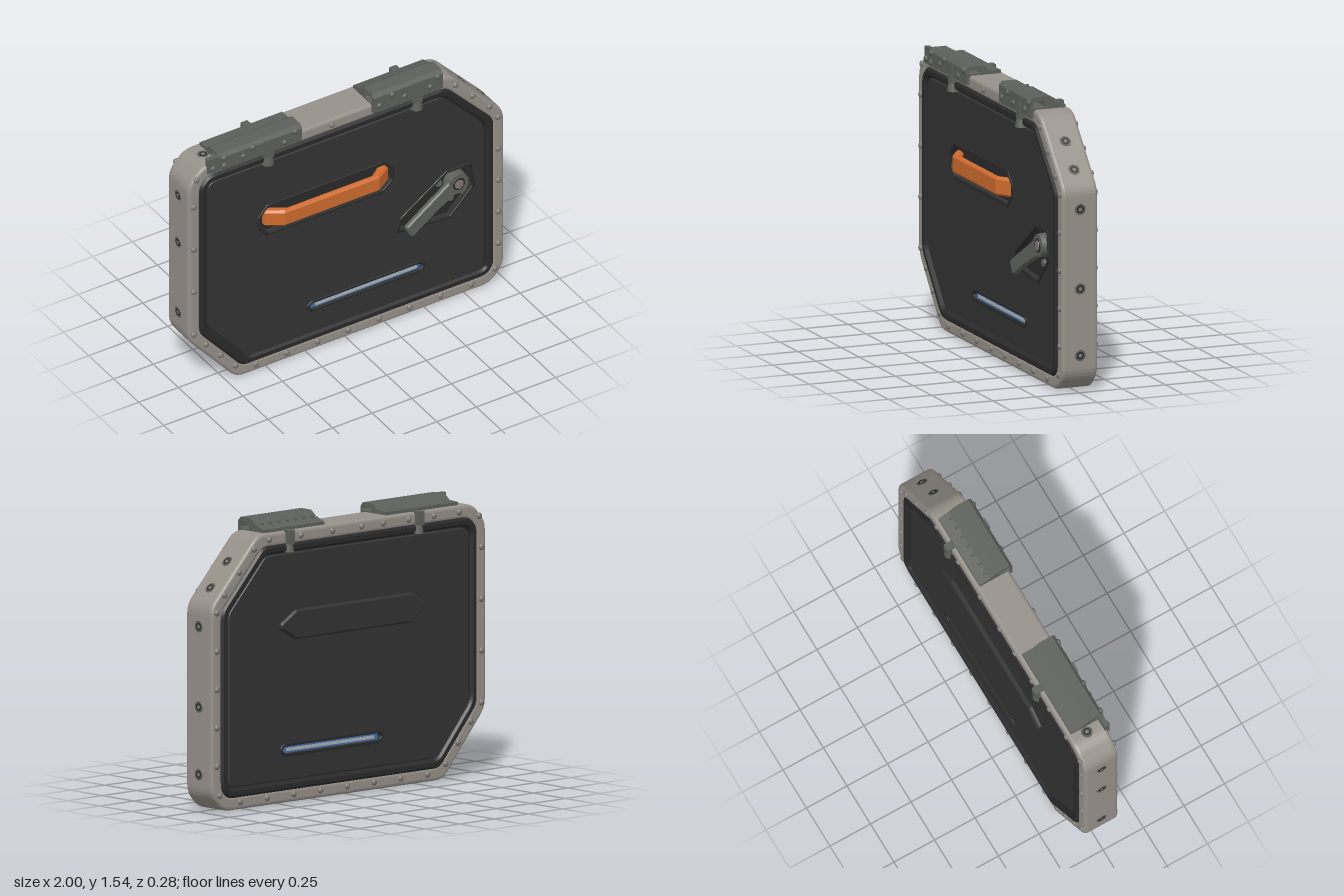
import * as THREE from 'three';

const mat = (name, color) => Object.assign(new THREE.MeshStandardMaterial({ color }), { name });
const M = {
  frame: mat('warmGrey', 0x969089),
  panel: mat('charcoal', 0x333333),
  seal: mat('blackRubber', 0x2a2a2a),
  metal: mat('greenGreySteel', 0x5d605a),
  screw: mat('screwGrey', 0x7c7974),
  orange: mat('orange', 0xcf6b2e),
  blue: mat('blue', 0x41699f),
  light: mat('paleGrey', 0xa8b0b6),
};

// Outlines, counter-clockwise and convex
const BODY = [[-0.69, 0], [0.91, 0], [0.997, 0.09], [0.997, 1.11], [0.66, 1.47], [-0.9, 1.47], [-0.997, 1.37], [-0.997, 0.36]];
const GRIP = [[-0.5, 0.863], [0.24, 0.863], [0.305, 0.925], [0.305, 1.0], [0.24, 1.065], [-0.5, 1.065], [-0.56, 1.0], [-0.56, 0.925]];
const LEVER = [[0.66, 0.53], [0.815, 0.69], [0.79, 0.85], [0.63, 0.85], [0.34, 0.65], [0.31, 0.56]];
const SLOT = [[-0.22, 0.25], [0.47, 0.25], [0.5, 0.275], [0.5, 0.3], [0.47, 0.322], [-0.22, 0.322], [-0.25, 0.3], [-0.25, 0.275]];
const BACK = [[-0.44, 0.88], [0.4, 0.88], [0.51, 0.945], [0.51, 0.975], [0.4, 1.04], [-0.44, 1.04], [-0.54, 0.975], [-0.54, 0.945]];

// Move every edge of an outline inwards by d
function inset(pts, d) {
  const n = pts.length;
  const normal = (a, b) => {
    const l = Math.hypot(b[0] - a[0], b[1] - a[1]);
    return [(a[1] - b[1]) / l, (b[0] - a[0]) / l];
  };
  return pts.map((p, i) => {
    const a = normal(pts[(i + n - 1) % n], p), b = normal(p, pts[(i + 1) % n]);
    const k = d / (1 + a[0] * b[0] + a[1] * b[1]);
    return [p[0] + k * (a[0] + b[0]), p[1] + k * (a[1] + b[1])];
  });
}

// Closed outline with softened corners of size r, and optional holes
function outline(pts, r = 0, holes = []) {
  const s = new THREE.Shape(), n = pts.length;
  const v = pts.map((p) => new THREE.Vector2(...p));
  v.forEach((p, i) => {
    const toward = (q) => p.clone().lerp(q, Math.min(0.4, r / p.distanceTo(q)));
    const a = toward(v[(i + n - 1) % n]), b = toward(v[(i + 1) % n]);
    if (i) s.lineTo(a.x, a.y); else s.moveTo(a.x, a.y);
    if (r) s.quadraticCurveTo(p.x, p.y, b.x, b.y);
  });
  s.closePath();
  s.holes = holes;
  return s;
}

// Solid between z0 and z1, with bevelled edges
function slab(shape, z0, z1, b = 0) {
  const g = new THREE.ExtrudeGeometry(shape, {
    depth: z1 - z0 - 2 * b, bevelEnabled: b > 0, bevelSize: b, bevelThickness: b,
    bevelOffset: -b, bevelSegments: b > 0.012 ? 3 : 1, curveSegments: 5,
  });
  return g.translate(0, 0, z0 + b);
}

export function createModel() {
  const root = new THREE.Group();
  root.name = 'armouredCase';
  const add = (name, geo, material, parent = root) => {
    const m = new THREE.Mesh(geo, material);
    m.name = name;
    parent.add(m);
    return m;
  };
  const box = (name, material, x0, x1, y0, y1, z0, z1) =>
    add(name, new THREE.BoxGeometry(x1 - x0, y1 - y0, z1 - z0), material)
      .position.set((x0 + x1) / 2, (y0 + y1) / 2, (z0 + z1) / 2);
  const disc = (name, material, r, x, y, z0, z1, sides = 20) => {
    const g = new THREE.CylinderGeometry(r * 0.92, r, z1 - z0, sides).rotateX(Math.PI / 2);
    add(name, g, material).position.set(x, y, (z0 + z1) / 2);
  };

  // Shell, rubber seals and panels
  const ring = (pts, d0, d1, r) => outline(inset(pts, d0), r, [outline(inset(pts, d1), r)]);
  add('outerFrame', slab(ring(BODY, 0, 0.075, 0.05), -0.11, 0.096, 0.018), M.frame);
  add('rubberSeal', slab(ring(BODY, 0.068, 0.115, 0.04), -0.12, 0.106, 0.012), M.seal);
  add('innerCore', slab(outline(inset(BODY, 0.1), 0.03), -0.075, 0.06), M.seal);
  const plate = inset(BODY, 0.125);
  add('frontPanel', slab(outline(plate, 0.03, [GRIP, LEVER, SLOT].map((p) => outline(inset(p, 0.015), 0.01))), 0.05, 0.092, 0.004), M.panel);
  add('backPanel', slab(outline(plate, 0.03, [outline(inset(SLOT, 0.015), 0.01)]), -0.107, -0.06, 0.004), M.panel);
  add('backPlate', slab(outline(BACK, 0.01), -0.133, -0.1, 0.01), M.panel);

  // Raised rims around the recesses
  for (const [name, pts] of [['gripRim', GRIP], ['leverRim', LEVER], ['slotRim', SLOT]])
    add(name, slab(ring(pts, 0, 0.017, 0.01), 0.085, 0.098, 0.003), M.seal);
  add('backSlotRim', slab(ring(SLOT, 0, 0.017, 0.01), -0.113, -0.1, 0.003), M.seal);

  // Light strips, front and back
  for (const [z, dir] of [[0.08, 1], [-0.095, -1]]) {
    box('lightStripBed', M.blue, -0.215, 0.47, 0.267, 0.305, z - 0.004, z + 0.004);
    const zc = z + dir * 0.005;
    box('lightStrip', M.light, -0.19, 0.45, 0.277, 0.294, zc - 0.003, zc + 0.003);
  }

  // Carrying grip: an arch bent out of its recess
  const arch = outline([[-0.51, 0.055], [-0.46, 0.055], [-0.385, 0.105], [0.155, 0.105], [0.22, 0.055], [0.27, 0.055],
    [0.27, 0.085], [0.18, 0.142], [-0.415, 0.142], [-0.51, 0.085]]);
  const grip = add('carryGrip', slab(arch, 0, 0.1, 0.012).rotateX(Math.PI / 2), M.orange);
  grip.position.y = 1.018;

  // Turning lever
  const lever = new THREE.Group();
  lever.name = 'turningLever';
  lever.position.set(0.7, 0.75, 0.075);
  lever.rotation.set(0, 0.07, 0.49, 'ZYX');
  root.add(lever);
  const arm = outline([[-0.38, -0.055], [-0.2, -0.045], [0, -0.05], [0, 0.05], [-0.2, 0.04], [-0.38, 0.03]], 0.02);
  add('leverArm', slab(arm, 0, 0.034, 0.008), M.metal, lever);
  disc('leverHub', M.metal, 0.067, 0.7, 0.75, 0.06, 0.114);
  disc('hubRing', M.seal, 0.04, 0.7, 0.75, 0.11, 0.117);
  disc('hubNut', M.screw, 0.031, 0.7, 0.75, 0.11, 0.121, 6);
  for (const [x, y] of [[0.672, 0.645], [0.6, 0.765], [0.755, 0.66]]) disc('leverScrew', M.metal, 0.022, x, y, 0.055, 0.075, 12);

  // Dome screws around the frame
  const dome = new THREE.SphereGeometry(0.018, 10, 8).scale(1, 1, 0.7);
  const row = (n, x0, y0, x1, y1) => Array.from({ length: n }, (_, i) => {
    const t = n > 1 ? i / (n - 1) : 0;
    return [x0 + (x1 - x0) * t, y0 + (y1 - y0) * t];
  });
  const spots = [
    ...row(8, -0.57, 0.042, 0.79, 0.042), ...row(5, 0.96, 0.25, 0.96, 1.08),
    ...row(4, -0.962, 0.39, -0.962, 1.23), ...row(3, -0.885, 0.295, -0.7, 0.085),
    ...row(3, 0.69, 1.395, 0.905, 1.17), [0.94, 0.09], [-0.945, 1.4], [-0.09, 1.435],
  ];
  const backSpots = [...spots, ...row(4, -0.8, 1.435, -0.25, 1.435), ...row(3, 0.12, 1.435, 0.58, 1.435)];
  for (const [list, z] of [[spots, 0.096], [backSpots, -0.11]])
    for (const [x, y] of list) add('frameScrew', dome, M.screw).position.set(x, y, z);

  // Sunk bolts on the edges: x, y and outward direction
  const slope = [0.73, 0.684];
  const bolts = [
    ...[0.2, 0.565, 1.0].map((y) => [0.997, y, 1, 0]),
    ...[0.49, 0.95, 1.26].map((y) => [-0.997, y, -1, 0]),
    ...[-0.29, 0.24, 0.56].map((x) => [x, 0, 0, -1]),
    [0.791, 1.33, ...slope], [0.913, 1.2, ...slope], [-0.84, 1.47, 0, 1],
  ];
  for (const [x, y, nx, ny] of bolts) {
    const bolt = new THREE.Group();
    bolt.name = 'edgeBolt';
    bolt.position.set(x, y, -0.007);
    bolt.rotation.z = Math.atan2(-nx, ny);
    root.add(bolt);
    add('boltWasher', new THREE.CylinderGeometry(0.03, 0.033, 0.004, 16), M.metal, bolt);
    add('boltSocket', new THREE.CylinderGeometry(0.021, 0.021, 0.005, 16), M.seal, bolt);
    add('boltHead', new THREE.CylinderGeometry(0.012, 0.012, 0.006, 6), M.screw, bolt);
  }

  // Hinge covers over the top edge, each with a hollow channel
  const cover = (x0, x1, top) => {
    const channel = outline([[0.03, 1.478], [0.098, 1.478], [0.098, top - 0.022], [0.03, top - 0.022]], 0.01);
    const s = outline([[0.113, 1.422], [0.113, top - 0.02], [0.095, top], [0.015, top], [-0.025, top - 0.03],
      [-0.088, 1.487], [-0.088, 1.425]], 0, [channel]);
    add('hingeCover', slab(s, 0, x1 - x0).rotateY(-Math.PI / 2), M.metal).position.x = x1;
  };
  cover(-0.81, -0.29, 1.52);
  cover(0.16, 0.6, 1.538);
  box('hingeEndPlate', M.metal, -0.88, -0.8, 1.42, 1.513, 0.08, 0.108);
  for (const [x, y] of [[-0.85, 1.45], [-0.78, 1.445], [-0.78, 1.495], [-0.66, 1.46], [-0.6, 1.495], [-0.4, 1.45], [-0.33, 1.495],
    [0.2, 1.46], [0.28, 1.5], [0.36, 1.46], [0.52, 1.46], [0.57, 1.505]])
    add('hingeScrew', dome, M.metal).position.set(x, y, 0.112);
  for (let i = 0; i < 7; i++) {
    const x = 0.2 + i * 0.06;
    box('hingeRib', M.metal, x - 0.006, x + 0.006, 1.49, 1.515, -0.042, -0.01);
  }

  // Latches hanging over the front and back edges
  for (const [x, top] of [[-0.5, 1.52], [0.44, 1.538]]) {
    box('latchStrap', M.metal, x - 0.027, x + 0.027, 1.39, top - 0.015, 0.09, 0.121);
    add('latchFoot', new THREE.CylinderGeometry(0.026, 0.035, 0.05, 12), M.metal).position.set(x, 1.37, 0.1);
    box('backLatchStrap', M.metal, x - 0.022, x + 0.022, 1.4, 1.475, -0.137, -0.085);
    add('backLatchFoot', new THREE.CylinderGeometry(0.022, 0.03, 0.05, 12), M.metal).position.set(x, 1.38, -0.112);
  }
  return root;
}
